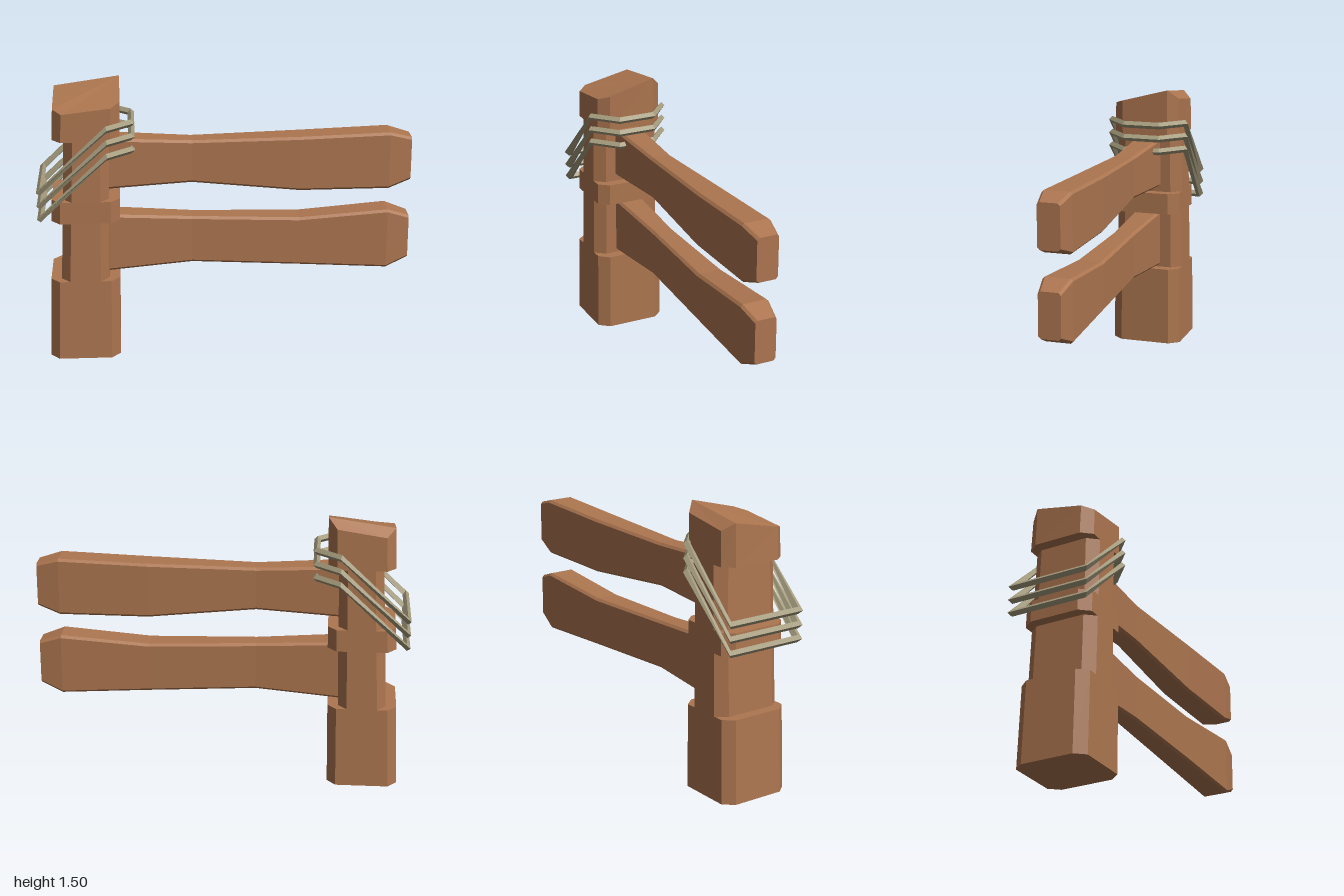
import * as THREE from 'three';

// Skin a series of equal-sized rings; each ring runs counter-clockwise seen from the far end.
function loft(rings, caps = true, pivot = 0) {
  const pos = [];
  const tri = (...points) => points.forEach((p) => pos.push(...p));
  const n = rings[0].length;
  for (let r = 0; r < rings.length - 1; r++) {
    const a = rings[r], b = rings[r + 1];
    for (let i = 0; i < n; i++) {
      const j = (i + 1) % n;
      tri(a[i], a[j], b[j]);
      tri(a[i], b[j], b[i]);
    }
  }
  if (caps) {
    const first = rings[0], last = rings[rings.length - 1];
    for (let k = 1; k < n - 1; k++) {
      const i = (pivot + k) % n, j = (pivot + k + 1) % n;
      tri(first[pivot], first[j], first[i]);
      tri(last[pivot], last[i], last[j]);
    }
  }
  const geometry = new THREE.BufferGeometry();
  geometry.setAttribute('position', new THREE.Float32BufferAttribute(pos, 3));
  geometry.computeVertexNormals();
  return geometry;
}

// Chamfered rectangle, as corner pairs [u, v] turning from v towards u.
function chamfered(u0, u1, v, cu, cv) {
  return [
    [u1 - cu, v], [u1, v - cv], [u1, cv - v], [u1 - cu, -v],
    [u0 + cu, -v], [u0, cv - v], [u0, v - cv], [u0 + cu, v],
  ];
}

// Post: [height, left x, right x, half depth]; repeated heights make the notch ledges.
function postGeometry() {
  const sections = [
    [0, -0.96, -0.58, 0.2],
    [0.45, -0.943, -0.573, 0.196],
    [0.45, -0.886, -0.63, 0.196],
    [0.78, -0.872, -0.622, 0.193],
    [0.78, -0.93, -0.567, 0.193],
    [0.9, -0.925, -0.565, 0.192],
    [0.9, -0.865, -0.622, 0.192],
    [1.23, -0.852, -0.614, 0.188],
    [1.23, -0.914, -0.56, 0.188],
  ];
  const rings = sections.map(([y, x0, x1, z]) =>
    chamfered(x0, x1, z, 0.047, 0.056).map(([x, zz]) => [x, y, zz]));
  // Uneven, slanting cut at the top
  const topHeights = [1.41, 1.43, 1.5, 1.45, 1.41, 1.45, 1.395, 1.38];
  rings.push(chamfered(-0.905, -0.555, 0.185, 0.047, 0.053)
    .map(([x, z], i) => [x, topHeights[i], z]));
  return loft(rings, true, 2);
}

// Rail: [x, bottom y, top y, half thickness]
function railGeometry(sections) {
  const c = 0.013;
  return loft(sections.map(([x, y0, y1, w]) =>
    chamfered(-w, w, y1 - y0, c, c) && [
      [x, y1, c - w], [x, y1, w - c], [x, y1 - c, w], [x, y0 + c, w],
      [x, y0, w - c], [x, y0, c - w], [x, y0 + c, -w], [x, y1 - c, -w],
    ]));
}

// Rope loop: diamond section mitred around a bent closed path.
function ropeGeometry() {
  const r = 0.0175;
  const drop = -0.335;
  const path = [
    [-0.9825, drop, -0.213], [-0.63, 0, -0.218], [-0.4975, 0, -0.1],
    [-0.4975, 0, 0.1], [-0.63, 0, 0.218], [-0.9825, drop, 0.213],
  ];
  const n = path.length;
  const outward = (a, b) => new THREE.Vector2(b[2] - a[2], a[0] - b[0]).normalize();
  const rings = path.map((p, i) => {
    const n1 = outward(path[(i + n - 1) % n], p);
    const n2 = outward(p, path[(i + 1) % n]);
    const m = n1.clone().add(n2).multiplyScalar(r / (1 + n1.dot(n2)));
    const [x, y, z] = p;
    return [
      [x + m.x, y, z + m.y], [x, y + r * 1.1, z],
      [x - m.x, y, z - m.y], [x, y - r * 1.1, z],
    ];
  });
  rings.push(rings[0]);
  return loft(rings, false);
}

export function createModel() {
  const wood = new THREE.MeshStandardMaterial({ color: 0xad7650, flatShading: true });
  wood.name = 'wood';
  const rope = new THREE.MeshStandardMaterial({ color: 0xa39a7c, flatShading: true });
  rope.name = 'rope';

  const model = new THREE.Group();
  model.name = 'fencePostWithRails';
  const add = (name, geometry, material, y = 0) => {
    const mesh = new THREE.Mesh(geometry, material);
    mesh.name = name;
    mesh.position.y = y;
    model.add(mesh);
  };

  add('post', postGeometry(), wood);

  // Two hand-cut rails with tapered ends
  add('upperRail', railGeometry([
    [-0.66, 0.928, 1.212, 0.077], [-0.18, 0.953, 1.187, 0.06], [0.4, 0.9, 1.2, 0.077],
    [0.88, 0.903, 1.217, 0.08], [1, 0.945, 1.183, 0.06],
  ]), wood);
  add('lowerRail', railGeometry([
    [-0.66, 0.458, 0.785, 0.077], [-0.18, 0.495, 0.758, 0.06], [0.4, 0.47, 0.742, 0.073],
    [0.88, 0.445, 0.78, 0.08], [1, 0.495, 0.738, 0.06],
  ]), wood);

  // Three slack rope loops around the post
  const ropeLoop = ropeGeometry();
  [1.305, 1.23, 1.157].forEach((y, i) => add(`ropeLoop${i + 1}`, ropeLoop, rope, y));

  return model;
}
